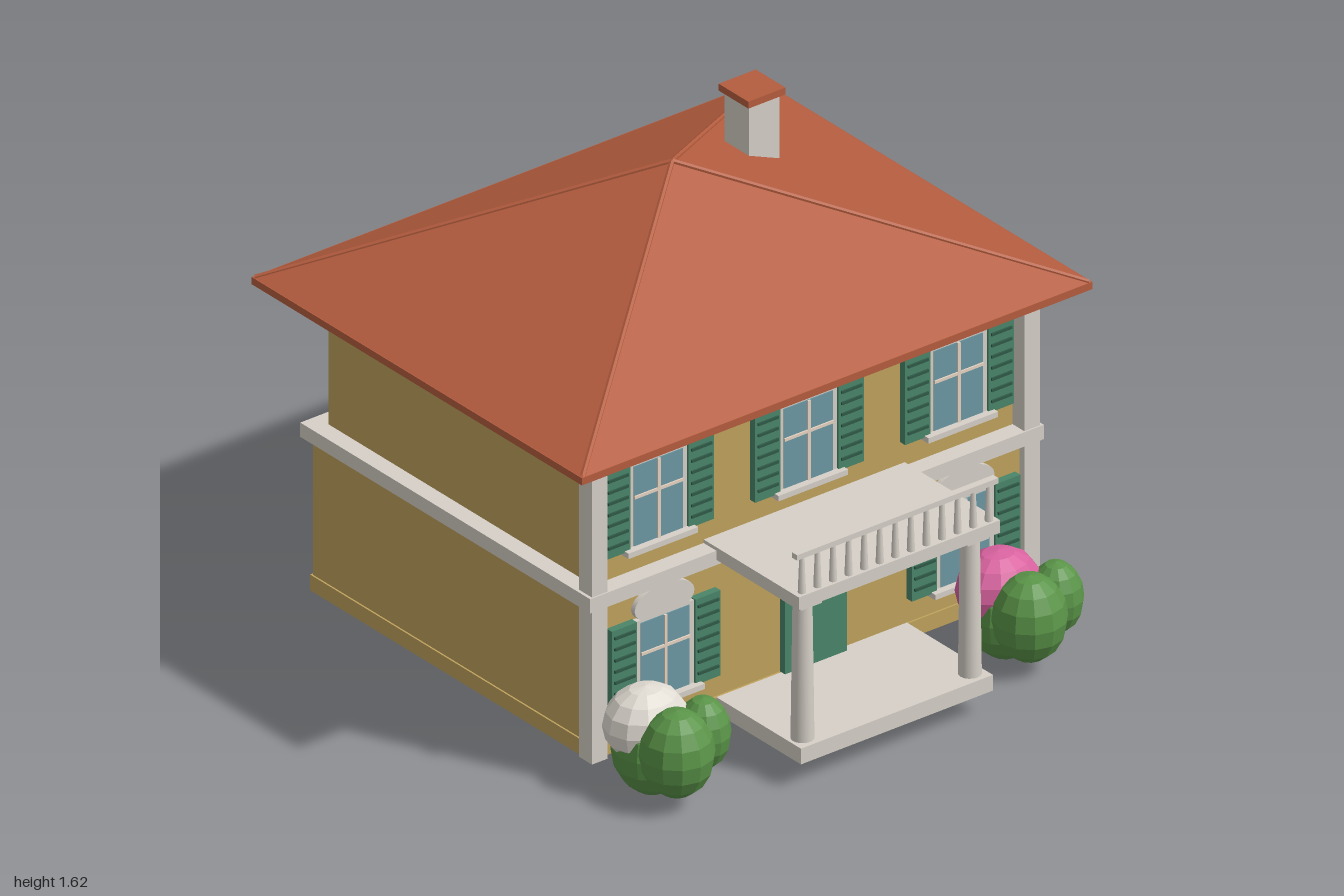
import * as THREE from 'three';

const mat = (name, color, flatShading = false) => {
  const m = new THREE.MeshStandardMaterial({ color, flatShading });
  m.name = name;
  return m;
};

export function createModel() {
  const M = {
    wall: mat('ochre plaster', 0xbfa25c),
    roof: mat('terracotta', 0xb55d3f, true),
    stone: mat('pale stone', 0xd6d0c7),
    green: mat('shutter green', 0x4a8569),
    dark: mat('dark slat green', 0x2f5a48),
    glass: mat('window glass', 0x6c98a4),
    bar: mat('glazing bar', 0xecd8c6),
    leaf: mat('bush green', 0x5a9448, true),
    pink: mat('pink blossom', 0xd8629f, true),
    white: mat('white blossom', 0xe0dbd2, true),
  };
  const house = new THREE.Group();
  house.name = 'house';
  const ZC = -0.153; // centre of the house body

  const add = (parent, name, geo, material, x = 0, y = 0, z = 0) => {
    const m = new THREE.Mesh(geo, material);
    m.name = name;
    m.position.set(x, y, z);
    parent.add(m);
    return m;
  };
  // box given by its extents
  const box = (parent, name, material, x0, x1, y0, y1, z0, z1) =>
    add(parent, name, new THREE.BoxGeometry(x1 - x0, y1 - y0, z1 - z0), material,
      (x0 + x1) / 2, (y0 + y1) / 2, (z0 + z1) / 2);
  // storey or band centred on the body
  const storey = (name, material, hx, hz, y0, y1) =>
    box(house, name, material, -hx, hx, y0, y1, ZC - hz, ZC + hz);

  // Body
  storey('plinth', M.wall, 0.866, 0.69, 0.085, 0.14);
  storey('lowerWalls', M.wall, 0.86, 0.683, 0.09, 0.64);
  storey('floorBand', M.stone, 0.886, 0.713, 0.618, 0.668);
  storey('upperWalls', M.wall, 0.825, 0.65, 0.65, 1.148);
  storey('eavesBand', M.stone, 0.862, 0.69, 1.126, 1.15);
  for (const s of [-1, 1]) {
    const x = s * 0.8445;
    box(house, 'cornerPilaster', M.stone, x - 0.0305, x + 0.0305, 0.084, 1.15, 0.49, 0.555);
  }

  // Hipped roof with an eaves slab and ridge caps
  const EX = 0.994, EZ = 0.81, EY = 1.172, APEX = 1.586;
  storey('roofEaves', M.roof, EX + 0.003, EZ + 0.002, 1.147, EY);
  const hip = new THREE.ConeGeometry(Math.SQRT2, 1, 4, 1);
  hip.rotateY(Math.PI / 4);
  hip.scale(EX, APEX - EY, EZ);
  add(house, 'hippedRoof', hip, M.roof, 0, (EY + APEX) / 2, ZC);
  for (const sx of [-1, 1]) for (const sz of [-1, 1]) {
    const path = new THREE.LineCurve3(
      new THREE.Vector3(sx * (EX - 0.005), EY, ZC + sz * (EZ - 0.005)),
      new THREE.Vector3(0, APEX, ZC));
    add(house, 'ridgeCap', new THREE.TubeGeometry(path, 1, 0.009, 6), M.roof);
  }

  // Chimney
  box(house, 'chimney', M.stone, 0.385, 0.505, 1.35, 1.602, -0.38, -0.26);
  box(house, 'chimneyCap', M.roof, 0.373, 0.518, 1.6, 1.624, -0.393, -0.247);

  // Shuttered window; y is the sill top and z the wall face
  const addWindow = (x, y, z) => {
    const g = new THREE.Group();
    g.name = 'window';
    g.position.set(x, y, z);
    house.add(g);
    box(g, 'surround', M.stone, -0.116, 0.116, 0, 0.292, -0.01, 0.018);
    const head = new THREE.CylinderGeometry(1, 1, 0.028, 24);
    head.rotateX(Math.PI / 2);
    head.scale(0.117, 0.062, 1);
    add(g, 'archedHead', head, M.stone, 0, 0.328, 0.004);
    box(g, 'pane', M.glass, -0.095, 0.095, 0.004, 0.282, 0.015, 0.021);
    box(g, 'verticalBar', M.bar, -0.005, 0.005, 0.004, 0.282, 0.018, 0.026);
    box(g, 'crossBar', M.bar, -0.095, 0.095, 0.17, 0.18, 0.018, 0.026);
    box(g, 'sill', M.stone, -0.136, 0.136, -0.016, 0.003, -0.01, 0.045);
    for (const s of [-1, 1]) {
      const c = s * 0.163;
      box(g, 'shutter', M.green, c - 0.049, c + 0.049, -0.003, 0.295, -0.005, 0.026);
      for (let i = 0; i < 7; i++) {
        const sy = 0.03 + i * 0.039;
        box(g, 'shutterSlat', M.dark, c - 0.04, c + 0.04, sy, sy + 0.009, 0.024, 0.032);
      }
    }
  };
  for (const x of [-0.586, 0, 0.586]) addWindow(x, 0.76, ZC + 0.65);
  for (const x of [-0.586, 0.586]) addWindow(x, 0.227, ZC + 0.683);

  // Arched front door
  const door = new THREE.Shape();
  door.moveTo(-0.121, 0.13);
  door.lineTo(0.121, 0.13);
  door.lineTo(0.121, 0.54);
  door.absellipse(0, 0.54, 0.121, 0.09, 0, Math.PI, false);
  add(house, 'door', new THREE.ExtrudeGeometry(door, { depth: 0.03, bevelEnabled: false, curveSegments: 16 }),
    M.green, 0, 0, 0.525);

  // Porch with columns and a balcony
  box(house, 'porchFloor', M.stone, -0.375, 0.375, 0.085, 0.14, 0.5, 0.953);
  box(house, 'balconySlab', M.stone, -0.393, 0.393, 0.636, 0.68, 0.49, 0.965);
  for (const s of [-1, 1]) {
    const x = s * 0.327;
    add(house, 'column', new THREE.CylinderGeometry(0.031, 0.037, 0.48, 16), M.stone, x, 0.38, 0.9);
    box(house, 'columnCapital', M.stone, x - 0.042, x + 0.042, 0.614, 0.637, 0.858, 0.942);
  }
  box(house, 'balconyRail', M.stone, -0.393, 0.393, 0.805, 0.824, 0.932, 0.957);
  const N = 13;
  for (let i = 0; i < N; i++) {
    const x = -0.365 + (0.73 * i) / (N - 1);
    add(house, 'baluster', new THREE.CylinderGeometry(0.008, 0.013, 0.13, 8), M.stone, x, 0.743, 0.945);
  }

  // Flowering bushes
  const ball = new THREE.SphereGeometry(1, 12, 8);
  const addBush = (x, bloom) => {
    const g = new THREE.Group();
    g.name = 'bush';
    g.position.x = x;
    house.add(g);
    const lobe = (name, m, lx, y, z, rx, ry, rz) =>
      add(g, name, ball, m, lx, y, z).scale.set(rx, ry, rz);
    lobe('frontLobe', M.leaf, 0, 0.187, 0.802, 0.12, 0.147, 0.12);
    lobe('rearLobe', M.leaf, 0, 0.16, 0.68, 0.128, 0.16, 0.13);
    lobe('sideLobe', M.leaf, 0.148, 0.183, 0.745, 0.087, 0.122, 0.09);
    lobe('blossom', bloom, -0.005, 0.235, 0.655, 0.142, 0.125, 0.122);
  };
  addBush(-0.74, M.white);
  addBush(0.638, M.pink);

  return house;
}
